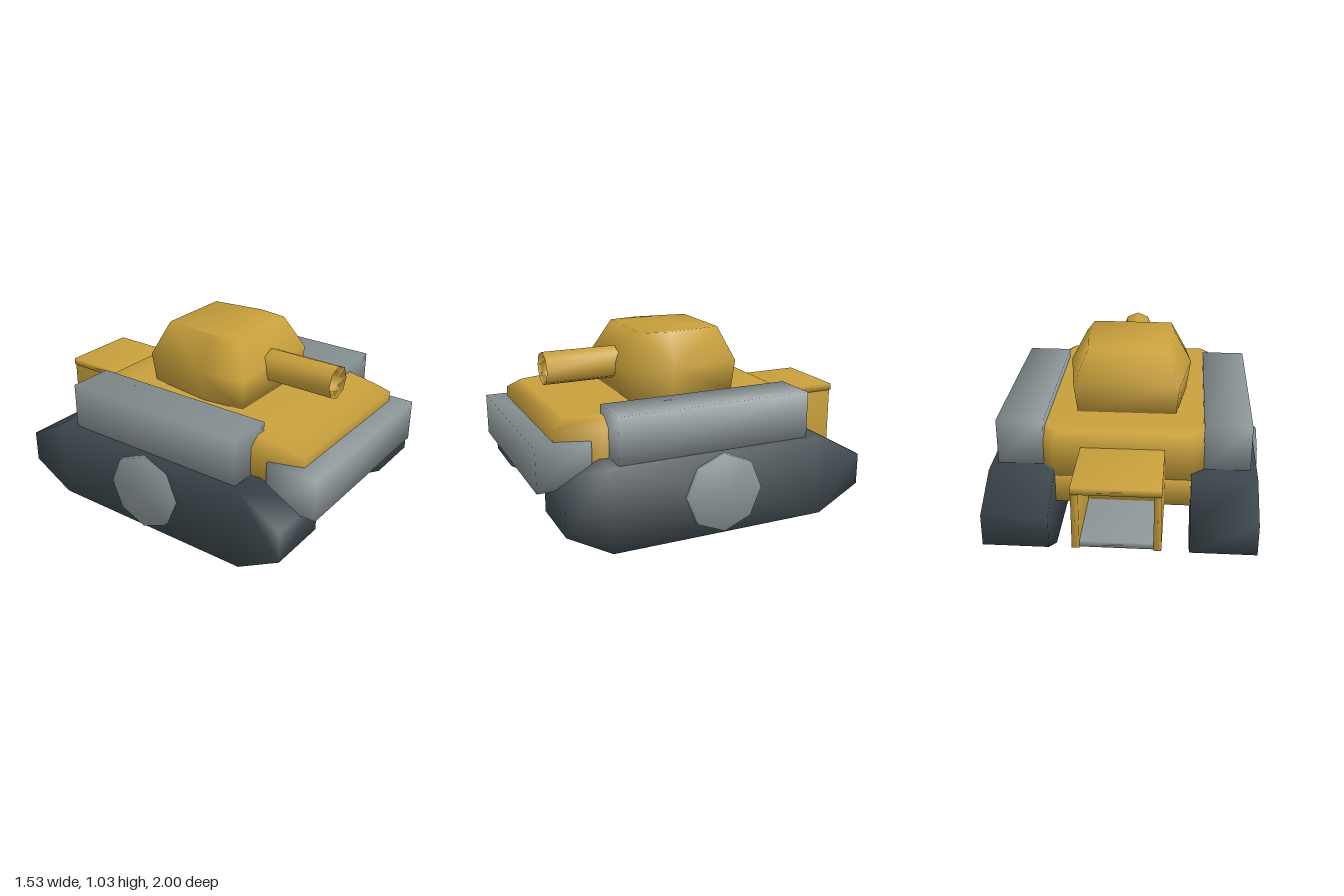
import * as THREE from 'three';
import { mergeVertices } from 'three/addons/utils/BufferGeometryUtils.js';
import { ConvexGeometry } from 'three/addons/geometries/ConvexGeometry.js';

const gold = new THREE.MeshStandardMaterial({ color: 0xc8a03c });
const grey = new THREE.MeshStandardMaterial({ color: 0x8c9698 });
const dark = new THREE.MeshStandardMaterial({ color: 0x3c474d });

// Weld corners so the shading runs softly over the low-poly edges
function soften(geometry) {
  geometry.deleteAttribute('normal');
  geometry.deleteAttribute('uv');
  const welded = mergeVertices(geometry, 1e-4);
  welded.computeVertexNormals();
  return welded;
}

export function createModel() {
  const model = new THREE.Group();

  function add(name, geometry, material) {
    const mesh = new THREE.Mesh(soften(geometry), material);
    mesh.name = name;
    model.add(mesh);
    return mesh;
  }

  // Box given by its limits on each axis
  function box(name, material, x0, x1, y0, y1, z0, z1) {
    const g = new THREE.BoxGeometry(x1 - x0, y1 - y0, z1 - z0);
    g.translate((x0 + x1) / 2, (y0 + y1) / 2, (z0 + z1) / 2);
    return add(name, g, material);
  }

  // Convex body from levels [y, [half width, z]...], mirrored in x
  function body(name, material, levels) {
    const points = [];
    for (const [y, ...outline] of levels) {
      for (const [x, z] of outline) {
        points.push(new THREE.Vector3(x, y, z), new THREE.Vector3(-x, y, z));
      }
    }
    return add(name, new ConvexGeometry(points), material);
  }

  // Hull with bevelled upper edge, and the belly between the tracks
  const hullSide = [[0.48, 0.885], [0.56, 0.64], [0.56, -0.4], [0.38, -0.57]];
  body('hull', gold, [
    [0.42, ...hullSide],
    [0.62, ...hullSide],
    [0.67, [0.43, 0.81], [0.5, 0.6], [0.5, -0.38], [0.36, -0.52]],
  ]);
  box('belly', gold, -0.38, 0.38, 0.26, 0.45, -0.57, 0.86);
  box('bumper', grey, -0.55, 0.55, 0.32, 0.56, 0.7, 1);

  // Turret, widest a little below the roof
  body('turret', gold, [
    [0.66, [0.28, -0.255], [0.335, 0.14], [0.305, 0.38]],
    [0.84, [0.3, -0.27], [0.36, 0.14], [0.32, 0.39]],
    [1.03, [0.22, -0.19], [0.26, 0.12], [0.235, 0.29]],
  ]);

  // Octagonal barrel with a recessed bore
  const barrelProfile = [[0, 0], [0.095, 0], [0.095, 0.43], [0.06, 0.4], [0.055, 0.28], [0, 0.28]]
    .map(([r, h]) => new THREE.Vector2(r, h));
  const barrel = add('barrel', new THREE.LatheGeometry(barrelProfile, 8), gold);
  barrel.rotation.x = Math.PI / 2;
  barrel.position.set(0, 0.83, 0.36);

  // Open box at the rear
  box('rearBoxRoof', gold, -0.23, 0.23, 0.56, 0.6, -1, -0.56);
  box('rearBoxFloor', grey, -0.195, 0.195, 0.245, 0.28, -0.985, -0.5);
  for (const side of [-1, 1]) {
    const x = side * 0.21;
    box('rearBoxWall', gold, x - 0.02, x + 0.02, 0.24, 0.57, -0.99, -0.56);
  }

  // Tracks, side lockers and hub plates
  const trackProfile = [
    [0.91, 0.14], [0.91, 0.32], [0.66, 0.46], [-0.6, 0.46],
    [-0.85, 0.32], [-0.85, 0.14], [-0.6, 0], [0.66, 0],
  ];
  for (const side of [-1, 1]) {
    const points = [];
    for (const x of [0.375, 0.735]) {
      for (const [z, y] of trackProfile) points.push(new THREE.Vector3(side * x, y, z));
    }
    add('track', new ConvexGeometry(points), dark);

    const locker = side * 0.57;
    box('sideLocker', grey, locker - 0.13, locker + 0.13, 0.46, 0.72, -0.51, 0.61);

    const hub = add('hubPlate', new THREE.CylinderGeometry(0.22, 0.22, 0.065, 8), grey);
    hub.rotation.z = Math.PI / 2;
    hub.position.set(side * 0.7325, 0.24, 0.03);
  }

  return model;
}
